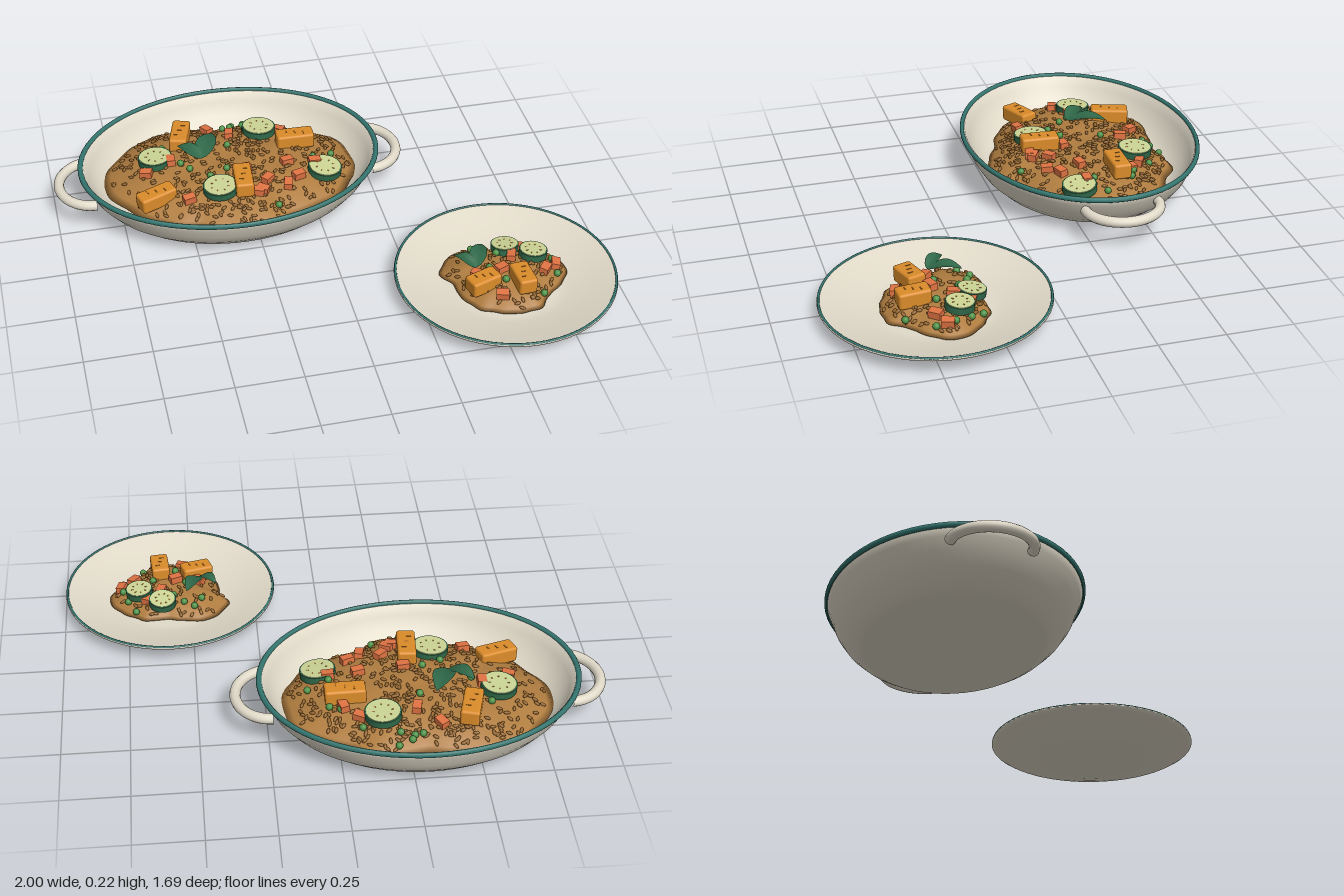
import * as THREE from 'three';
import { mergeGeometries } from 'three/addons/utils/BufferGeometryUtils.js';
import { RoundedBoxGeometry } from 'three/addons/geometries/RoundedBoxGeometry.js';

const mat = (name, color) => Object.assign(new THREE.MeshStandardMaterial({ color }), { name });
const M = {
  cream: mat('cream enamel', 0xe2dbca), teal: mat('teal rim', 0x34756f),
  sauce: mat('stew brown', 0xb07d40), grain: mat('grain brown', 0x94652c),
  squash: mat('squash orange', 0xdb8c2a), char: mat('roasted edge', 0xa8661c),
  carrot: mat('carrot red', 0xe07343), leaf: mat('dark green', 0x2f6849),
  flesh: mat('pale green', 0xccd595), pea: mat('pea green', 0x4f9248),
};
M.leaf.side = THREE.DoubleSide;

let seed = 7;
const rand = () => (seed = (seed * 16807) % 2147483647) / 2147483647;
const mesh = (name, geo, material) => Object.assign(new THREE.Mesh(geo, material), { name });
const lathe = (pts, sx, sz) =>
  new THREE.LatheGeometry(pts.map(p => new THREE.Vector2(...p)), 72).scale(sx, 1, sz);

// Irregular dome with an outline; knows its height and slope anywhere
function makeMound(cx, cz, outline, edge, peak, bump) {
  const curve = new THREE.CatmullRomCurve3(outline.map(([x, z]) => new THREE.Vector3(x - cx, 0, z - cz)), true);
  const N = 120, RINGS = 16, radii = new Array(N).fill(0);
  const samples = curve.getPoints(1500).map(p => [Math.atan2(p.z, p.x), Math.hypot(p.x, p.z)]);
  for (let i = 0; i < N; i++) {
    const a = i / N * Math.PI * 2;
    let best = 9;
    for (const [b, r] of samples) {
      const d = Math.abs(Math.atan2(Math.sin(a - b), Math.cos(a - b)));
      if (d < best) { best = d; radii[i] = r; }
    }
    radii[i] *= 1 + 0.009 * Math.sin(a * 17) + 0.009 * Math.sin(a * 11 + 1);
  }
  const radius = a => {
    const f = ((a / (Math.PI * 2)) % 1 + 1) % 1 * N, i = Math.floor(f) % N;
    return THREE.MathUtils.lerp(radii[i], radii[(i + 1) % N], f - Math.floor(f));
  };
  const height = (x, z) => {
    const t = Math.min(1, Math.hypot(x - cx, z - cz) / radius(Math.atan2(z - cz, x - cx)));
    const wave = Math.sin(x * 23 + z * 9) * Math.cos(z * 27 - x * 6);
    return edge + (peak - edge) * (1 - t ** 3.5) + bump * wave * (1 - t * t);
  };
  const normal = (x, z) => {
    const e = 0.03;
    return new THREE.Vector3(height(x - e, z) - height(x + e, z), 2 * e, height(x, z - e) - height(x, z + e)).normalize();
  };
  const pos = [cx, height(cx, cz), cz], idx = [];
  for (let k = 1; k <= RINGS + 1; k++) for (let i = 0; i < N; i++) {
    const skirt = k > RINGS, a = i / N * Math.PI * 2, r = radii[i] * (skirt ? 0.86 : k / RINGS);
    const x = cx + Math.cos(a) * r, z = cz + Math.sin(a) * r;
    pos.push(x, skirt ? Math.max(edge - 0.035, 0.022) : height(x, z), z);
  }
  for (let i = 0; i < N; i++) {
    const j = (i + 1) % N;
    idx.push(0, 1 + j, 1 + i);
    for (let k = 0; k < RINGS; k++) {
      const a = 1 + k * N + i, b = 1 + k * N + j;
      idx.push(a, b, b + N, a, b + N, a + N);
    }
  }
  const geo = new THREE.BufferGeometry();
  geo.setAttribute('position', new THREE.Float32BufferAttribute(pos, 3));
  geo.setIndex(idx);
  geo.computeVertexNormals();
  return { geo, height, normal, radius, cx, cz };
}

// Matrix that sits something on the mound; lean 0 is upright, 1 follows the slope
function seat(mound, x, z, lift, yaw, lean) {
  const up = new THREE.Vector3(0, 1, 0), q = new THREE.Quaternion();
  q.setFromUnitVectors(up, up.clone().lerp(mound.normal(x, z), lean).normalize());
  q.multiply(new THREE.Quaternion().setFromAxisAngle(up, yaw));
  return new THREE.Matrix4().compose(new THREE.Vector3(x, mound.height(x, z) + lift, z), q, new THREE.Vector3(1, 1, 1));
}
const place = (obj, mound, x, z, lift, yaw, lean = 0.35) => {
  seat(mound, x, z, lift, yaw, lean).decompose(obj.position, obj.quaternion, obj.scale);
  return obj;
};

// Squash chunk with thin roasted marks on top
function squashChunk(len) {
  const g = new THREE.Group();
  g.name = 'squashChunk';
  g.add(mesh('squash', new RoundedBoxGeometry(len, 0.062, 0.07, 3, 0.01), M.squash));
  for (const s of [-1, 0, 1]) {
    const mark = mesh('roastedMark', new THREE.BoxGeometry(0.005, 0.003, 0.018), M.char);
    mark.position.set(s * len * 0.22, 0.0312, s * 0.01);
    g.add(mark);
  }
  return g;
}

// Courgette slice: dark rind, pale face and a ring of seeds
function slice(r) {
  const g = new THREE.Group();
  g.name = 'courgetteSlice';
  g.add(mesh('rind', new THREE.CylinderGeometry(r, r, 0.026, 32), M.leaf));
  for (const s of [1, -1]) {
    const face = mesh('flesh', new THREE.CylinderGeometry(r * 0.92, r * 0.92, 0.004, 32), M.flesh);
    face.position.y = s * 0.013;
    g.add(face);
  }
  for (let i = 0; i < 8; i++) {
    const a = i / 8 * Math.PI * 2, dot = mesh('seed', new THREE.CylinderGeometry(0.003, 0.003, 0.002, 6), M.sauce);
    dot.scale.x = 1.7;
    dot.position.set(Math.cos(a) * r * 0.52, 0.0152, Math.sin(a) * r * 0.52);
    dot.rotation.y = -a;
    g.add(dot);
  }
  return g;
}

// Arched herb leaf running along +x
function herbLeaf(len, width) {
  const geo = new THREE.PlaneGeometry(1, 1, 14, 6).rotateX(-Math.PI / 2), p = geo.attributes.position;
  for (let i = 0; i < p.count; i++) {
    const u = p.getX(i) + 0.5, v = p.getZ(i) * 2;
    const w = width * 0.5 * Math.max(0, Math.sin(Math.PI * u ** 0.8)) ** 0.8;
    p.setXYZ(i, u * len, 0.022 * Math.sin(u * 2.6) + 0.008 * Math.abs(v) * Math.sin(Math.PI * u), v * w);
  }
  geo.computeVertexNormals();
  return mesh('herbLeaf', geo, M.leaf);
}

// Full serving: mound, grains, vegetables and herb sprig
function serving(name, mound, o) {
  const g = new THREE.Group();
  g.name = name;
  g.add(mesh('stew', mound.geo, M.sauce));
  const grains = [];
  for (let i = 0; i < o.grains; i++) {
    const a = rand() * Math.PI * 2, r = mound.radius(a) * 0.94 * Math.sqrt(rand());
    const x = mound.cx + Math.cos(a) * r, z = mound.cz + Math.sin(a) * r;
    grains.push(new THREE.SphereGeometry(1, 8, 6).scale(0.0125, 0.006, 0.0065)
      .applyMatrix4(seat(mound, x, z, 0.003, rand() * 6.28, 1)));
  }
  g.add(mesh('grains', mergeGeometries(grains), M.grain));
  for (const [x, z] of o.carrots)
    g.add(place(mesh('carrotDice', new THREE.BoxGeometry(0.047, 0.028, 0.033), M.carrot), mound, x, z, 0.012, rand() * 3));
  for (const [x, z] of o.peas)
    g.add(place(mesh('pea', new THREE.SphereGeometry(0.0135, 14, 10), M.pea), mound, x, z, 0.01, 0));
  for (const [x, z, yaw] of o.squash) g.add(place(squashChunk(o.chunk), mound, x, z, 0.021, yaw, 0.15));
  for (const [x, z] of o.slices) g.add(place(slice(o.sliceR), mound, x, z, 0.016, rand() * 3));
  const sprig = new THREE.Group();
  sprig.name = 'herbSprig';
  for (const [yaw, len, w] of [[1.15, 0.16, 0.08], [2.3, 0.12, 0.065]]) {
    const l = herbLeaf(len * o.herbScale, w * o.herbScale);
    l.rotation.y = yaw;
    sprig.add(l);
  }
  sprig.position.set(...o.herb);
  g.add(sprig);
  return g;
}

export function createModel() {
  const root = new THREE.Group();
  root.name = 'casseroleAndPlate';

  // Oval baking dish with rim and loop handles
  const dish = new THREE.Group();
  dish.name = 'ovalDish';
  dish.add(mesh('dishBody', lathe([[0, 0], [0.7, 0], [0.73, 0.004], [0.79, 0.022], [0.87, 0.058], [0.93, 0.1], [0.97, 0.145], [0.995, 0.175],
    [0.97, 0.178], [0.94, 0.14], [0.88, 0.088], [0.79, 0.045], [0.7, 0.03], [0, 0.03]], 0.59, 0.458), M.cream));
  const rim = [];
  for (let i = 0; i <= 10; i++) {
    const a = -Math.PI / 2 + i / 10 * Math.PI * 2;
    rim.push([0.99 + 0.0175 * Math.cos(a), 0.178 + 0.0105 * Math.sin(a)]);
  }
  dish.add(mesh('dishRim', lathe(rim, 0.59, 0.462), M.teal));
  for (const s of [-1, 1]) {
    const pts = [];
    for (let i = 0; i <= 12; i++) {
      const a = -Math.PI / 2 + i / 12 * Math.PI;
      pts.push(new THREE.Vector3(s * (0.54 + 0.132 * Math.cos(a)), 0.127, 0.145 * Math.sin(a)));
    }
    dish.add(mesh(s > 0 ? 'leftHandle' : 'rightHandle',
      new THREE.TubeGeometry(new THREE.CatmullRomCurve3(pts), 40, 0.02, 12), M.cream));
  }
  dish.position.set(-0.308, 0, -0.38);
  root.add(dish);

  // Round plate with a thin band on the lip
  const plate = new THREE.Group();
  plate.name = 'plate';
  plate.add(mesh('plateBody', lathe([[0, 0], [0.21, 0], [0.23, 0.004], [0.33, 0.032], [0.4, 0.054], [0.415, 0.063], [0.413, 0.07],
    [0.405, 0.07], [0.33, 0.046], [0.24, 0.024], [0.2, 0.02], [0, 0.02]], 1, 1), M.cream));
  const ring = mesh('plateRim', new THREE.TorusGeometry(0.409, 0.0045, 8, 80), M.teal);
  ring.rotation.x = Math.PI / 2;
  ring.position.y = 0.07;
  plate.add(ring);
  plate.position.set(0.582, 0, 0.427);
  root.add(plate);

  // Food in the dish
  const big = makeMound(-0.31, -0.37, [[-0.81, -0.4], [-0.77, -0.535], [-0.66, -0.67], [-0.5, -0.73], [-0.315, -0.7], [-0.13, -0.715],
    [0.005, -0.64], [0.165, -0.535], [0.2, -0.4], [0.155, -0.24], [0.085, -0.16], [-0.13, -0.06], [-0.235, 0], [-0.34, -0.015],
    [-0.5, -0.08], [-0.66, -0.155], [-0.74, -0.265]], 0.07, 0.155, 0.005);
  root.add(serving('dishServing', big, {
    grains: 560, chunk: 0.15, sliceR: 0.067, herb: [-0.42, 0.188, -0.365], herbScale: 1,
    squash: [[-0.475, -0.565, 1.3], [-0.03, -0.45, 0], [-0.62, -0.225, 0.35], [-0.283, -0.21, 1.5]],
    slices: [[-0.155, -0.565], [-0.593, -0.445], [-0.375, -0.2], [0.053, -0.27]],
    carrots: [[-0.36, -0.615], [-0.28, -0.545], [-0.64, -0.37], [-0.535, -0.415], [-0.5, -0.18], [-0.375, -0.22], [-0.235, -0.155],
      [-0.185, -0.22], [-0.11, -0.19], [-0.09, -0.315], [-0.02, -0.5], [-0.075, -0.555], [-0.06, -0.23], [-0.26, -0.3],
      [-0.215, -0.165], [0.02, -0.31]],
    peas: [[-0.25, -0.665], [-0.29, -0.645], [-0.2, -0.685], [0.02, -0.34], [-0.01, -0.51], [-0.165, -0.1], [-0.64, -0.395],
      [-0.555, -0.52], [-0.5, -0.39], [-0.33, -0.31], [-0.4, -0.28], [0.1, -0.37], [-0.21, -0.64], [-0.08, -0.6], [-0.3, -0.47],
      [-0.47, -0.35], [-0.26, -0.65], [0.03, -0.49]],
  }));

  // Food on the plate
  const small = makeMound(0.59, 0.42, [[0.353, 0.35], [0.417, 0.252], [0.5, 0.235], [0.59, 0.255], [0.685, 0.255], [0.78, 0.32],
    [0.825, 0.39], [0.797, 0.48], [0.717, 0.55], [0.66, 0.615], [0.567, 0.625], [0.45, 0.58], [0.395, 0.5], [0.385, 0.42]],
    0.03, 0.085, 0.004);
  root.add(serving('plateServing', small, {
    grains: 130, chunk: 0.12, sliceR: 0.053, herb: [0.465, 0.11, 0.43], herbScale: 0.8,
    squash: [[0.475, 0.495, 0.3], [0.62, 0.515, 1.65]],
    slices: [[0.615, 0.305], [0.705, 0.37]],
    carrots: [[0.62, 0.37], [0.725, 0.46], [0.775, 0.43], [0.56, 0.44], [0.47, 0.44], [0.67, 0.32], [0.53, 0.56]],
    peas: [[0.49, 0.28], [0.53, 0.3], [0.46, 0.32], [0.72, 0.29], [0.77, 0.4], [0.65, 0.44], [0.57, 0.34], [0.56, 0.5],
      [0.69, 0.56], [0.52, 0.42], [0.75, 0.34], [0.77, 0.47]],
  }));
  return root;
}
